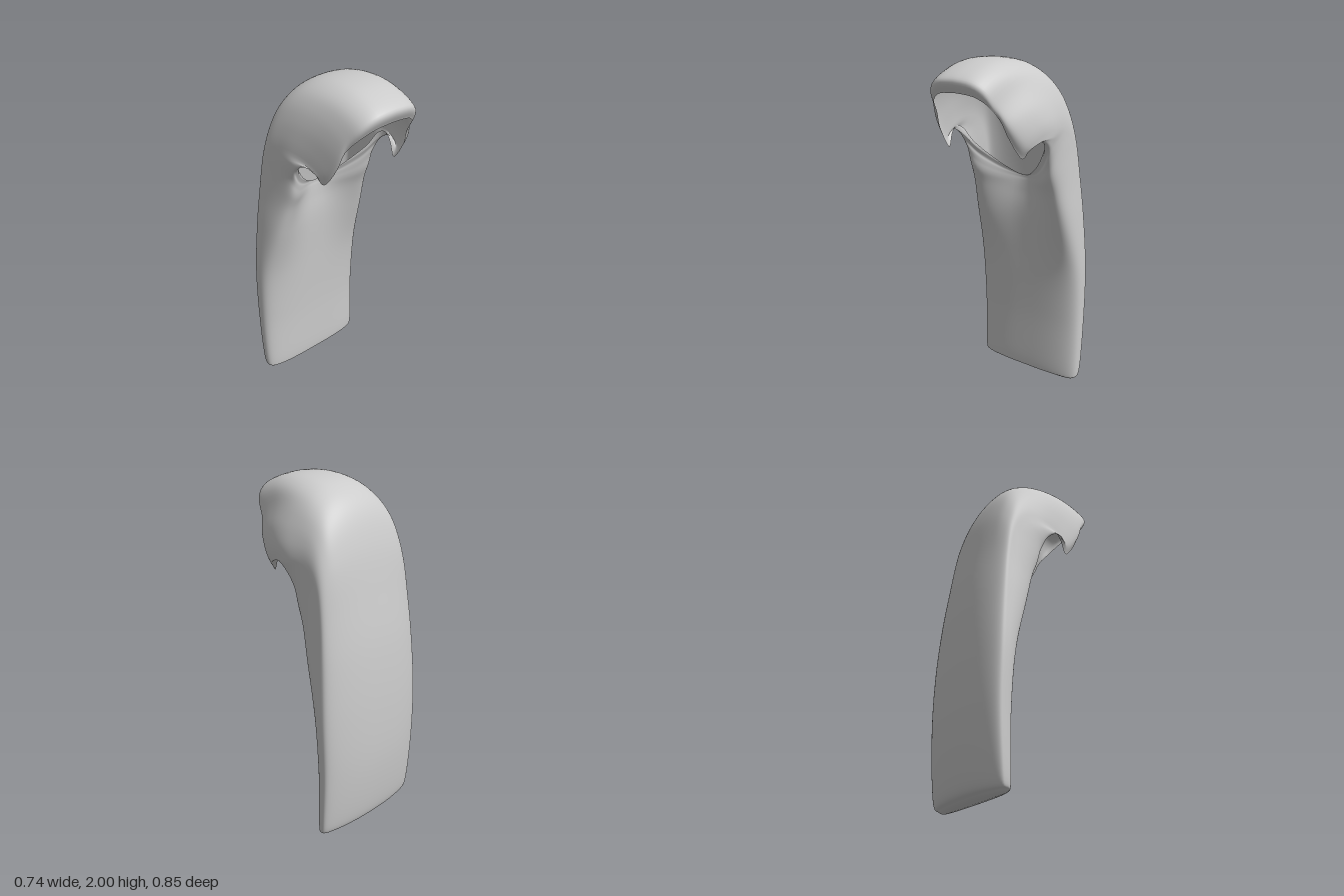
import * as THREE from 'three';

// Cross-sections from the tips up, over the crown and forward to the brow:
// back y, back z, front y, front z, half width, hollow of the front, squareness
const sections = [
  [0.00, -0.275, 0.00, -0.275, 0.30, 0.00, 3.0],
  [0.015, -0.335, 0.01, -0.24, 0.34, 0.00, 3.0],
  [0.08, -0.385, 0.06, -0.225, 0.36, 0.00, 3.0],
  [0.40, -0.42, 0.40, -0.22, 0.365, 0.00, 3.0],
  [0.75, -0.42, 0.75, -0.205, 0.368, 0.03, 2.9],
  [1.10, -0.395, 1.05, -0.19, 0.352, 0.15, 2.8],
  [1.40, -0.35, 1.20, -0.195, 0.335, 0.26, 2.6],
  [1.68, -0.295, 1.26, -0.198, 0.325, 0.35, 2.5],
  [1.87, -0.215, 1.28, -0.20, 0.32, 0.38, 2.4],
  [1.965, -0.09, 1.29, -0.20, 0.315, 0.38, 2.4],
  [2.00, 0.08, 1.295, -0.20, 0.308, 0.36, 2.4],
  [1.985, 0.26, 1.30, -0.20, 0.29, 0.36, 2.4],
  [1.915, 0.415, 1.30, -0.20, 0.272, 0.36, 2.4],
  [1.84, 0.40, 1.30, -0.20, 0.25, 0.36, 2.4],
];

// Half of the face opening, from the brow past the side lock to the neck
const rimHalf = [
  [0, 1.84, 0.40], [0.11, 1.83, 0.395], [0.185, 1.785, 0.36], [0.22, 1.71, 0.30],
  [0.235, 1.62, 0.265], [0.245, 1.53, 0.21], [0.255, 1.495, 0.165], [0.275, 1.56, 0.12],
  [0.295, 1.595, 0.06], [0.285, 1.57, 0.005], [0.24, 1.485, -0.04], [0.12, 1.36, -0.14],
  [0, 1.295, -0.20],
];
const rim = [...rimHalf, ...rimHalf.slice(0, -1).reverse().map(([x, y, z]) => [-x, y, z])];

// Smooth interpolation through the rows of a table, t from 0 to 1
function sample(table, t) {
  const last = table.length - 1;
  const i = Math.min(Math.floor(t * last), last - 1);
  const f = t * last - i;
  const row = (k) => table[Math.max(0, Math.min(last, k))];
  return row(i).map((p1, k) => {
    const p0 = row(i - 1)[k], p2 = row(i + 1)[k], p3 = row(i + 2)[k];
    const m1 = (p2 - p0) / 2, m2 = (p3 - p1) / 2;
    const d = p2 - p1;
    return p1 + f * (m1 + f * (3 * d - 2 * m1 - m2 + f * (m1 + m2 - 2 * d)));
  });
}

const signedPow = (v, e) => Math.sign(v) * Math.pow(Math.abs(v), e);
const bump = (v, width) => Math.exp(-(v * v) / (width * width));

// Rounded-box ring; angle 0 is the back or crown, PI the front centre
function ringPoint(t, angle) {
  const [by, bz, fy, fz, w, hollow, n] = sample(sections, t);
  const s = signedPow(Math.sin(angle), 2 / n);
  let u = signedPow(Math.cos(angle), 2 / n);
  const push = hollow * s * s * Math.max(0, -u);
  // Bow the back so it is deepest along the middle
  const depth = Math.hypot(by - fy, bz - fz) / 2;
  if (u > 0) u *= 1 - (0.04 - 0.015 * t) * s * s / Math.max(depth, 0.1);
  return [
    w * s,
    (by + fy) / 2 + ((by - fy) / 2) * u,
    (bz + fz) / 2 + ((bz - fz) / 2) * u + push,
  ];
}

function hairPoint(t, angle) {
  const p = ringPoint(t, angle);
  // Ease the upper rings into the ragged opening
  const f = Math.pow(Math.max(0, (t - 0.42) / 0.58), 1.5);
  const end = ringPoint(1, angle), edge = sample(rim, angle / (Math.PI * 2));
  for (let k = 0; k < 3; k++) p[k] += (edge[k] - end[k]) * f;
  // Swept lock on the left: a groove above a soft bulge
  const row = t * (sections.length - 1);
  const bulge = 0.032 * bump(angle - 1.4, 0.45) * bump(row - 10.8, 1.4);
  const groove = 0.02 * bump(angle - 0.8, 0.28) * bump(row - 11.8, 1.6);
  p[0] += bulge - groove;
  p[1] -= groove * 0.6;
  return p;
}

function hairGeometry(rows, around) {
  const position = [], index = [];
  for (let j = 0; j <= rows; j++) {
    for (let i = 0; i < around; i++) {
      position.push(...hairPoint(j / rows, (i / around) * Math.PI * 2));
    }
  }
  for (let j = 0; j < rows; j++) {
    for (let i = 0; i < around; i++) {
      const a = j * around + i, b = j * around + ((i + 1) % around);
      index.push(a, a + around, b, b, a + around, b + around);
    }
  }
  const geometry = new THREE.BufferGeometry();
  geometry.setAttribute('position', new THREE.Float32BufferAttribute(position, 3));
  geometry.setIndex(index);
  geometry.computeVertexNormals();
  return geometry;
}

export function createModel() {
  const group = new THREE.Group();
  group.name = 'longHair';
  const material = new THREE.MeshStandardMaterial({ color: 0xcccccc, side: THREE.DoubleSide });
  const hair = new THREE.Mesh(hairGeometry(104, 96), material);
  hair.name = 'hairShell';
  group.add(hair);
  return group;
}
